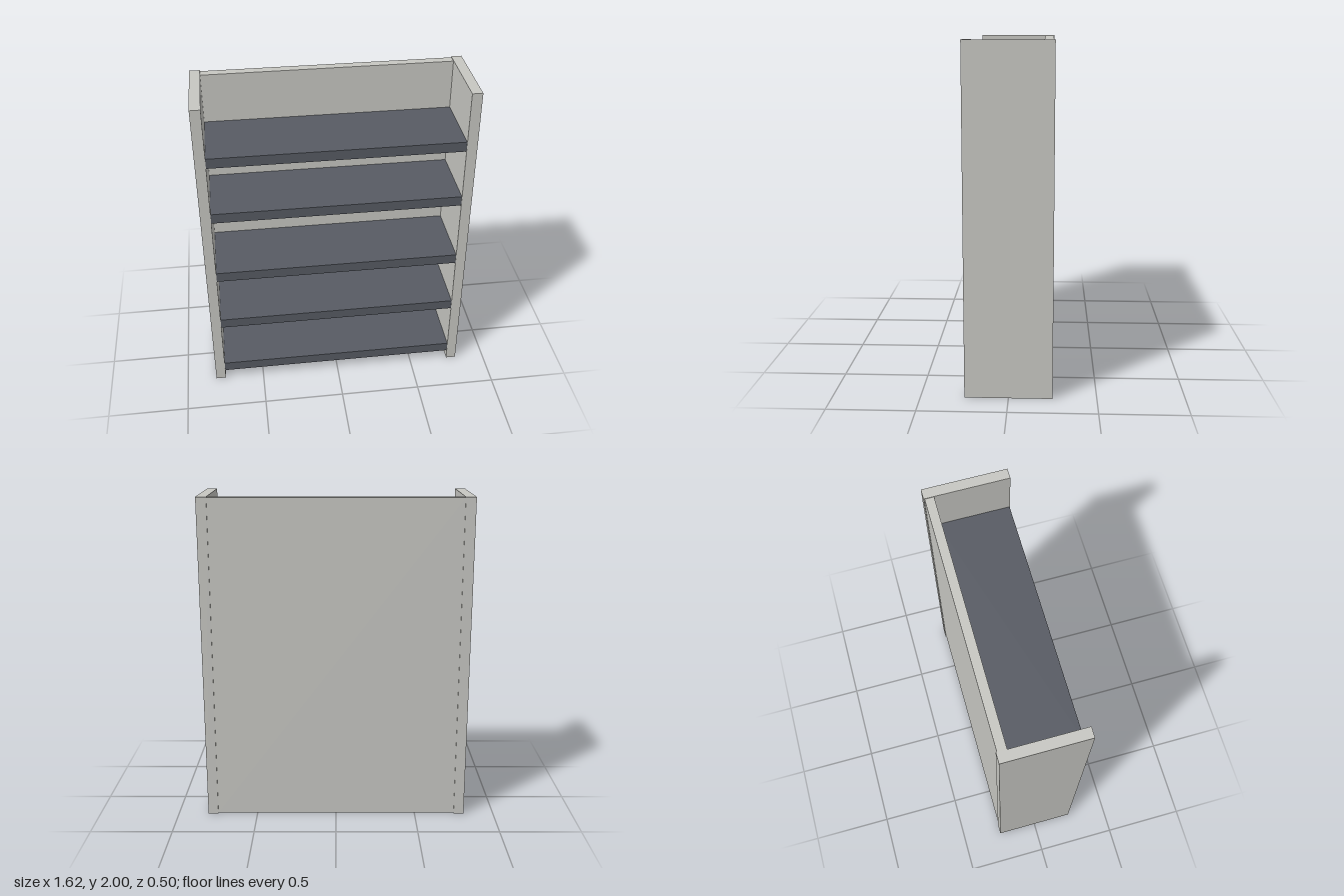
import * as THREE from 'three';

const frameMat = new THREE.MeshStandardMaterial({ color: 0xc7c7c2 });
frameMat.name = 'pale grey';
const shelfMat = new THREE.MeshStandardMaterial({ color: 0x575b63 });
shelfMat.name = 'slate grey';

// Box given by its lower and upper corners
function box(name, material, [x0, y0, z0], [x1, y1, z1]) {
  const mesh = new THREE.Mesh(new THREE.BoxGeometry(x1 - x0, y1 - y0, z1 - z0), material);
  mesh.position.set((x0 + x1) / 2, (y0 + y1) / 2, (z0 + z1) / 2);
  mesh.name = name;
  return mesh;
}

export function createModel() {
  const group = new THREE.Group();
  group.name = 'bookcase';
  const inner = 0.75, outer = 0.8125, depth = 0.25, thick = 0.0625;

  // Side panels
  group.add(box('leftSide', frameMat, [inner, 0, -depth], [outer, 2, depth]));
  group.add(box('rightSide', frameMat, [-outer, 0, -depth], [-inner, 2, depth]));

  // Back panel, set in slightly from the side panels
  group.add(box('backPanel', frameMat, [-inner, 0.003, -0.244], [inner, 1.996, -0.19]));

  // Shelves, by the height of their undersides
  [0.065, 0.44, 0.815, 1.252, 1.628].forEach((y, i) => {
    group.add(box(`shelf${i + 1}`, shelfMat, [-inner, y, -0.19], [inner, y + thick, 0.247]));
  });
  return group;
}
